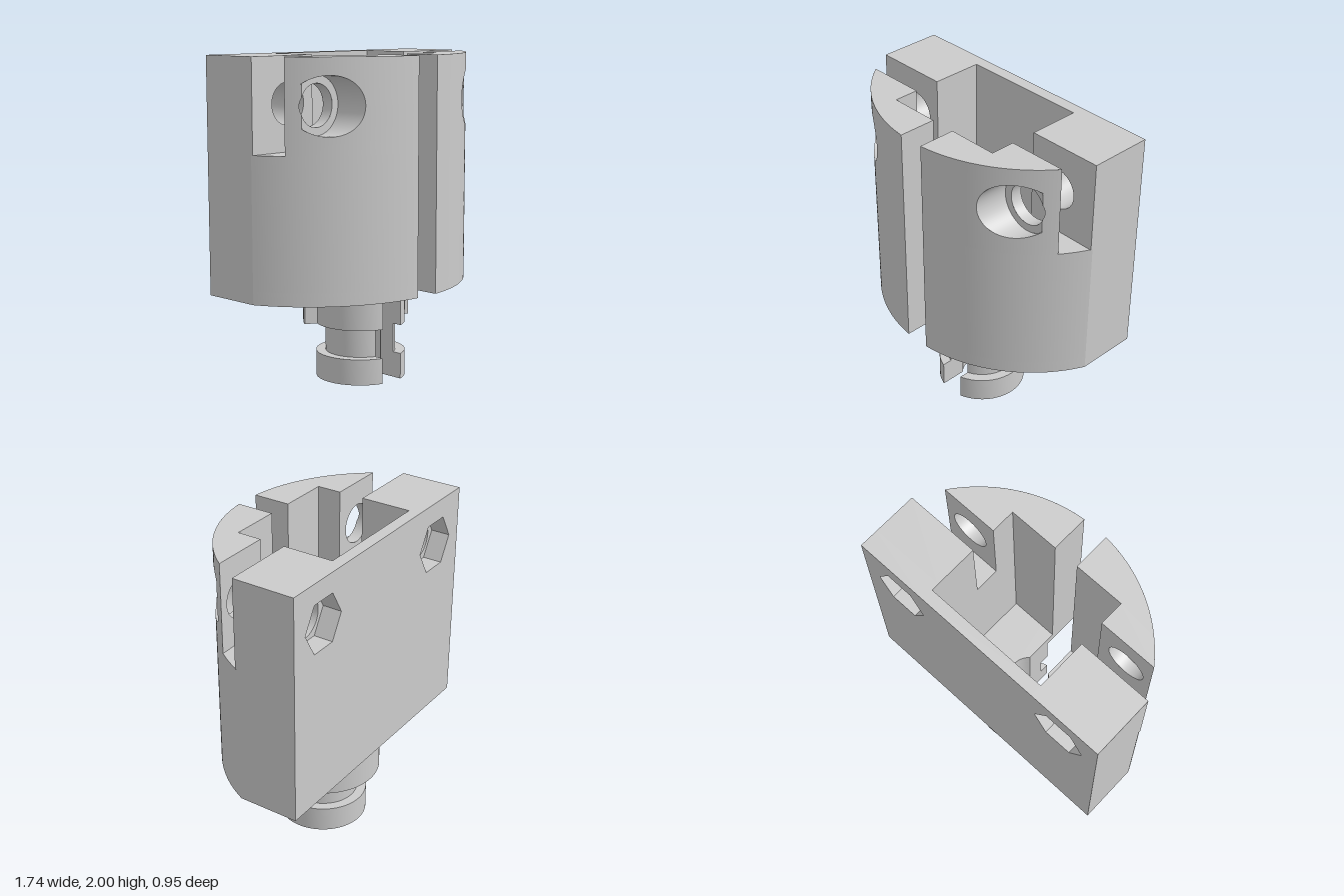
import * as THREE from 'three';
import { toCreasedNormals } from 'three/addons/utils/BufferGeometryUtils.js';

const solid = new THREE.MeshStandardMaterial({ color: 0xcccccc });
const skin = new THREE.MeshStandardMaterial({ color: 0xcccccc, side: THREE.DoubleSide });

const R = 0.95, CZ = -0.475;          // big front curve
const HALF = 0.87, SLOT = 0.08;       // half width, half slot width
const BORE_Z = -0.075, BORE_R = 0.125; // central keyhole
const BOTTOM = 0.58, FLOOR = 0.66, NOTCH = 1.445, TOP = 2;
const HOLE_X = 0.595, HOLE_Y = 1.725, HOLE_R = 0.125, SINK_R = 0.172, SINK_Z = 0.155;

const v2 = (x, z) => new THREE.Vector2(x, z);
const frontZ = x => CZ + Math.sqrt(R * R - x * x);

// points of an arc in plan (x, z)
function arc(cz, r, a0, a1, n) {
  return Array.from({ length: n + 1 }, (_, i) => {
    const a = a0 + (a1 - a0) * i / n;
    return v2(r * Math.cos(a), cz + r * Math.sin(a));
  });
}

function mesh(name, geometry, material = solid) {
  const m = new THREE.Mesh(geometry, material);
  m.name = name;
  return m;
}

// plan outline raised from y0 to y1
function slab(name, points, y0, y1) {
  const g = new THREE.ExtrudeGeometry(new THREE.Shape(points), { depth: y1 - y0, bevelEnabled: false });
  g.rotateX(Math.PI / 2).translate(0, y1, 0);
  return mesh(name, toCreasedNormals(g, 0.4));
}

// surface between two curves a(t) and b(t)
function strip(name, a, b, n = 1) {
  const pos = [], index = [];
  for (let i = 0; i <= n; i++) {
    pos.push(...a(i / n), ...b(i / n));
    if (i < n) index.push(2 * i, 2 * i + 1, 2 * i + 2, 2 * i + 2, 2 * i + 1, 2 * i + 3);
  }
  const g = new THREE.BufferGeometry();
  g.setAttribute('position', new THREE.Float32BufferAttribute(pos, 3));
  g.setIndex(index);
  g.computeVertexNormals();
  return mesh(name, g, skin);
}

const upright = (name, x0, z0, x1, z1) => strip(name,
  t => [x0 + (x1 - x0) * t, NOTCH, z0 + (z1 - z0) * t],
  t => [x0 + (x1 - x0) * t, TOP, z0 + (z1 - z0) * t]);

function rect(x0, y0, x1, y1) {
  return new THREE.Shape([v2(x0, y0), v2(x1, y0), v2(x1, y1), v2(x0, y1)]);
}

function ring(r, n) {
  return new THREE.Path(Array.from({ length: n }, (_, i) => {
    const a = -i / n * Math.PI * 2;
    return v2(HOLE_X + r * Math.cos(a), HOLE_Y + r * Math.sin(a));
  }));
}

// back upper corner: hexagonal nut pocket, then round bolt hole
function backCorner() {
  const g = new THREE.Group();
  const layers = [['nutPocket', 0.173, 6, -0.475, -0.355], ['boltHole', HOLE_R, 40, -0.355, -SLOT]];
  for (const [name, r, n, z0, z1] of layers) {
    const s = rect(0.4, NOTCH, HALF, TOP);
    s.holes.push(ring(r, n));
    const geo = new THREE.ExtrudeGeometry(s, { depth: z1 - z0, bevelEnabled: false }).translate(0, 0, z0);
    g.add(mesh(name, toCreasedNormals(geo, 0.4)));
  }
  return g;
}

// front upper jaw with a counterbored hole running out through the curved face
function frontJaw() {
  const g = new THREE.Group();
  const end = Math.sqrt(R * R - (SLOT - CZ) ** 2);
  const cut = Math.sqrt(R * R - (SINK_Z - CZ) ** 2);

  // curved face, split above and below the hole opening
  const spans = [[SLOT, HOLE_X - SINK_R, 0], [HOLE_X - SINK_R, cut, SINK_R],
    [cut, HOLE_X + HOLE_R, HOLE_R], [HOLE_X + HOLE_R, end, 0]];
  for (const [x0, x1, r] of spans) {
    const at = t => x0 + (x1 - x0) * (1 - Math.cos(Math.PI * t)) / 2;
    const h = x => Math.sqrt(Math.max(0, r * r - (x - HOLE_X) ** 2));
    for (const [edge, side] of [[NOTCH, -1], [TOP, 1]]) {
      g.add(strip('curvedFace',
        t => [at(t), edge, frontZ(at(t))],
        t => [at(t), HOLE_Y + side * h(at(t)), frontZ(at(t))], 28));
    }
  }

  // counterbore wall and its flat seat
  const a0 = Math.acos((cut - HOLE_X) / SINK_R);
  const turn = t => a0 + (2 * Math.PI - 2 * a0) * t;
  const onCircle = (r, a) => [HOLE_X + r * Math.cos(a), HOLE_Y + r * Math.sin(a)];
  g.add(strip('counterbore',
    t => [...onCircle(SINK_R, turn(t)), SINK_Z],
    t => { const p = onCircle(SINK_R, turn(t)); return [...p, frontZ(p[0])]; }, 48));
  g.add(strip('counterboreSeat',
    t => {
      const a = 2 * Math.PI * t;
      const r = Math.min(SINK_R, (cut - HOLE_X) / Math.max(Math.cos(a), 0.01));
      return [...onCircle(r, a), SINK_Z];
    },
    t => {
      const p = onCircle(HOLE_R, 2 * Math.PI * t);
      return [Math.min(p[0], cut), p[1], SINK_Z];
    }, 96));

  // bolt hole wall
  g.add(strip('boltHole',
    t => [...onCircle(HOLE_R, 2 * Math.PI * t), SLOT],
    t => { const p = onCircle(HOLE_R, 2 * Math.PI * t); return [...p, Math.min(SINK_Z, frontZ(p[0]))]; }, 48));

  // flat sides
  g.add(upright('slotSide', SLOT, 0.235, SLOT, frontZ(SLOT)));
  g.add(upright('pocketFront', SLOT, 0.235, 0.4, 0.235));
  g.add(upright('pocketSide', 0.4, SLOT, 0.4, 0.235));
  const back = rect(0.4, NOTCH, end, TOP);
  back.holes.push(ring(HOLE_R, 40));
  g.add(mesh('notchSide', new THREE.ShapeGeometry(back).translate(0, 0, SLOT), skin));

  // top face
  const top = new THREE.Shape([v2(0.4, SLOT), v2(0.4, 0.235), v2(SLOT, 0.235),
    ...arc(CZ, R, Math.acos(SLOT / R), Math.acos(end / R), 28)]);
  g.add(mesh('jawTop', new THREE.ShapeGeometry(top).rotateX(Math.PI / 2).translate(0, TOP, 0), skin));
  return g;
}

export function createModel() {
  const model = new THREE.Group();
  model.name = 'clampHolder';

  // plan outlines
  const s = Math.asin(SLOT / R), corner = Math.acos(HALF / R), k = Math.asin(SLOT / BORE_R);
  const outer = [
    ...arc(CZ, R, Math.PI / 2 - s, corner, 36), v2(HALF, CZ), v2(-HALF, CZ),
    ...arc(CZ, R, Math.PI - corner, Math.PI / 2 + s, 36)];
  const keyhole = arc(BORE_Z, BORE_R, Math.PI / 2 + k, 2.5 * Math.PI - k, 36);
  const pocket = [v2(-SLOT, 0.235), v2(-0.4, 0.235), v2(-0.4, -0.4),
    v2(0.4, -0.4), v2(0.4, 0.235), v2(SLOT, 0.235)];

  // body
  model.add(slab('bodyFloor', [...outer, ...keyhole], BOTTOM, FLOOR));
  model.add(slab('bodyWalls', [...outer, ...pocket], FLOOR, NOTCH));
  const plate = new THREE.BoxGeometry(0.8, TOP - NOTCH, 0.075);
  model.add(mesh('backPlate', plate.translate(0, (TOP + NOTCH) / 2, -0.4375)));
  for (const side of [1, -1]) {
    const half = new THREE.Group();
    half.name = side > 0 ? 'leftUpperHalf' : 'rightUpperHalf';
    half.add(backCorner(), frontJaw());
    half.scale.x = side;
    model.add(half);
  }

  // slotted stem: foot, neck and collar with a raised locking sector
  const slotted = r => {
    const q = Math.asin(SLOT / r);
    return arc(BORE_Z, r, Math.PI / 2 - q, -1.5 * Math.PI + q, 64);
  };
  const q = Math.asin(SLOT / 0.277), a = Math.PI / 12, b = -Math.PI * 5 / 6;
  const collar = [
    ...arc(BORE_Z, 0.277, Math.PI / 2 - q, a, 14),
    ...arc(BORE_Z, 0.357, a, b, 36),
    ...arc(BORE_Z, 0.277, b, -1.5 * Math.PI + q, 20)];
  model.add(slab('stemFoot', [...slotted(0.277), ...keyhole], 0, 0.16));
  model.add(slab('stemNeck', [...slotted(0.218), ...keyhole], 0.16, 0.34));
  model.add(slab('stemCollar', [...collar, ...keyhole], 0.34, BOTTOM));
  return model;
}
